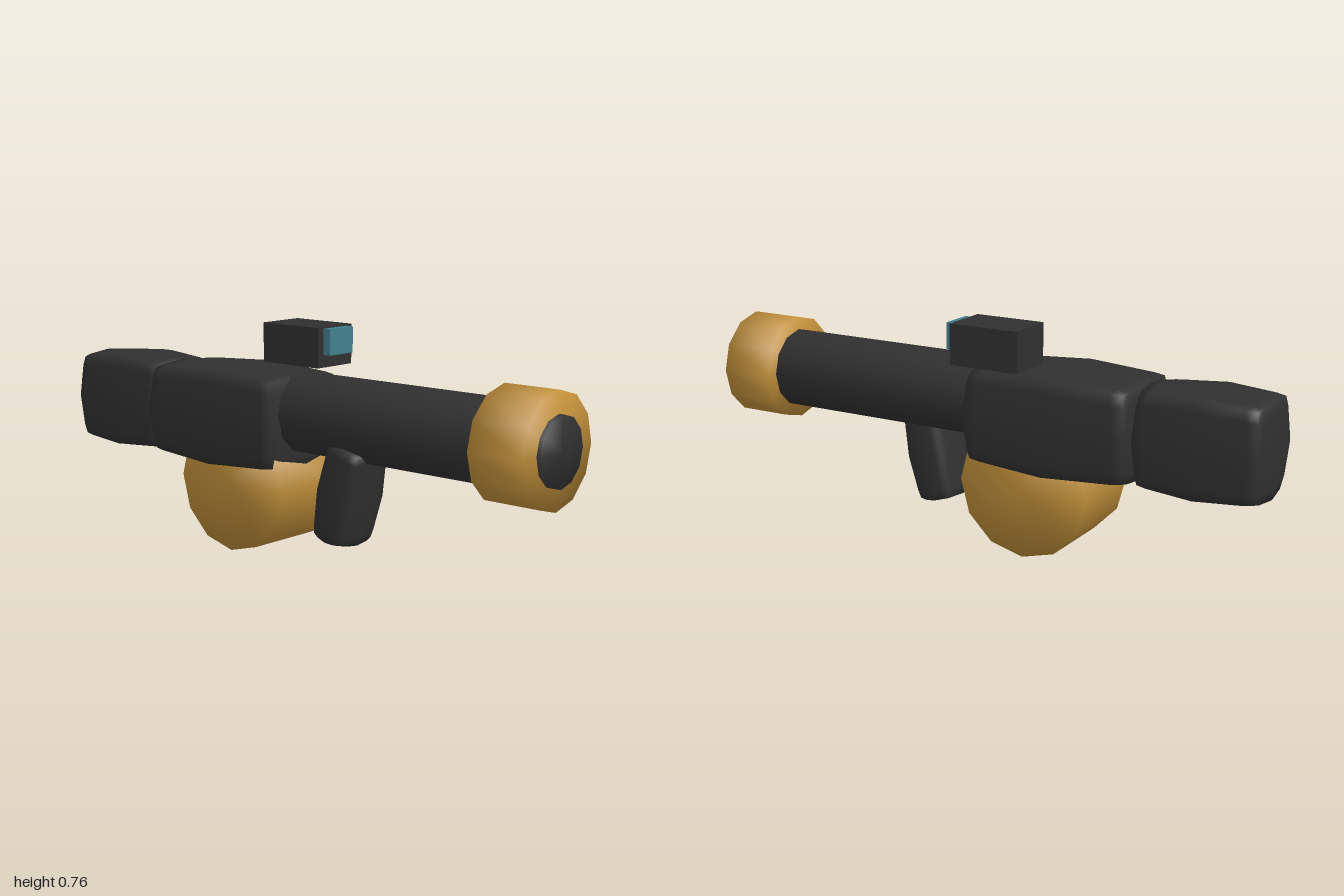
import * as THREE from 'three';
import { mergeVertices } from 'three/addons/utils/BufferGeometryUtils.js';

const mat = (name, color) => {
  const m = new THREE.MeshStandardMaterial({ color });
  m.name = name;
  return m;
};

// Weld all corners so normals run smoothly over every edge
function weld(geometry) {
  geometry.deleteAttribute('normal');
  geometry.deleteAttribute('uv');
  const g = mergeVertices(geometry, 1e-4);
  g.computeVertexNormals();
  return g;
}

// Box with softened edges (r) whose faces bulge outwards (p)
function pillow(w, h, d, r, p) {
  const g = new THREE.BoxGeometry(2, 2, 2, 4, 4, 4);
  const pos = g.attributes.position;
  const half = [w / 2, h / 2, d / 2];
  for (let i = 0; i < pos.count; i++) {
    const u = [pos.getX(i), pos.getY(i), pos.getZ(i)].map((t, a) =>
      Math.abs(Math.abs(t) - 0.5) < 0.01 ? Math.sign(t) * (1 - r / half[a]) : t);
    const sum = u[0] ** 2 + u[1] ** 2 + u[2] ** 2;
    const q = u.map((t, a) => t * (half[a] - p * (sum - t * t)));
    pos.setXYZ(i, q[0], q[1], q[2]);
  }
  return weld(g);
}

const drum = (radius, length) => weld(new THREE.CylinderGeometry(radius, radius, length, 12));

export function createModel() {
  const model = new THREE.Group();
  model.name = 'launcher';
  const black = mat('black', 0x303030);
  const gold = mat('gold', 0xc08f3a);
  const teal = mat('teal', 0x41808c);

  const add = (name, geometry, material, x, y, z) => {
    const mesh = new THREE.Mesh(geometry, material);
    mesh.name = name;
    mesh.position.set(x, y, z);
    model.add(mesh);
    return mesh;
  };

  // Barrel, muzzle ring and muzzle plug along z
  const alongZ = (name, radius, z0, z1, material) => {
    add(name, drum(radius, z1 - z0), material, -0.005, 0.481, (z0 + z1) / 2).rotation.x = Math.PI / 2;
  };
  alongZ('barrel', 0.137, -0.35, 0.82, black);
  alongZ('muzzleRing', 0.181, 0.795, 0.985, gold);
  alongZ('muzzle', 0.111, 0.95, 1.0, black);

  // Body and rear block
  add('body', pillow(0.38, 0.348, 0.61, 0.042, 0.017), black, -0.005, 0.449, -0.28);
  add('rearBlock', pillow(0.3, 0.342, 0.44, 0.038, 0.015), black, -0.005, 0.446, -0.78);

  // Drum magazine across x
  add('drumMagazine', drum(0.231, 0.288), gold, -0.005, 0.231, -0.2).rotation.z = Math.PI / 2;

  // Grip leaning forward at the top
  add('grip', pillow(0.19, 0.34, 0.155, 0.032, 0.01), black, -0.043, 0.25, 0.235).rotation.x = 0.21;

  // Sight with its lens
  add('sight', new THREE.BoxGeometry(0.17, 0.134, 0.245), black, 0.11, 0.692, -0.087);
  add('lens', new THREE.BoxGeometry(0.115, 0.087, 0.07), teal, 0.11, 0.711, 0.03);

  return model;
}
